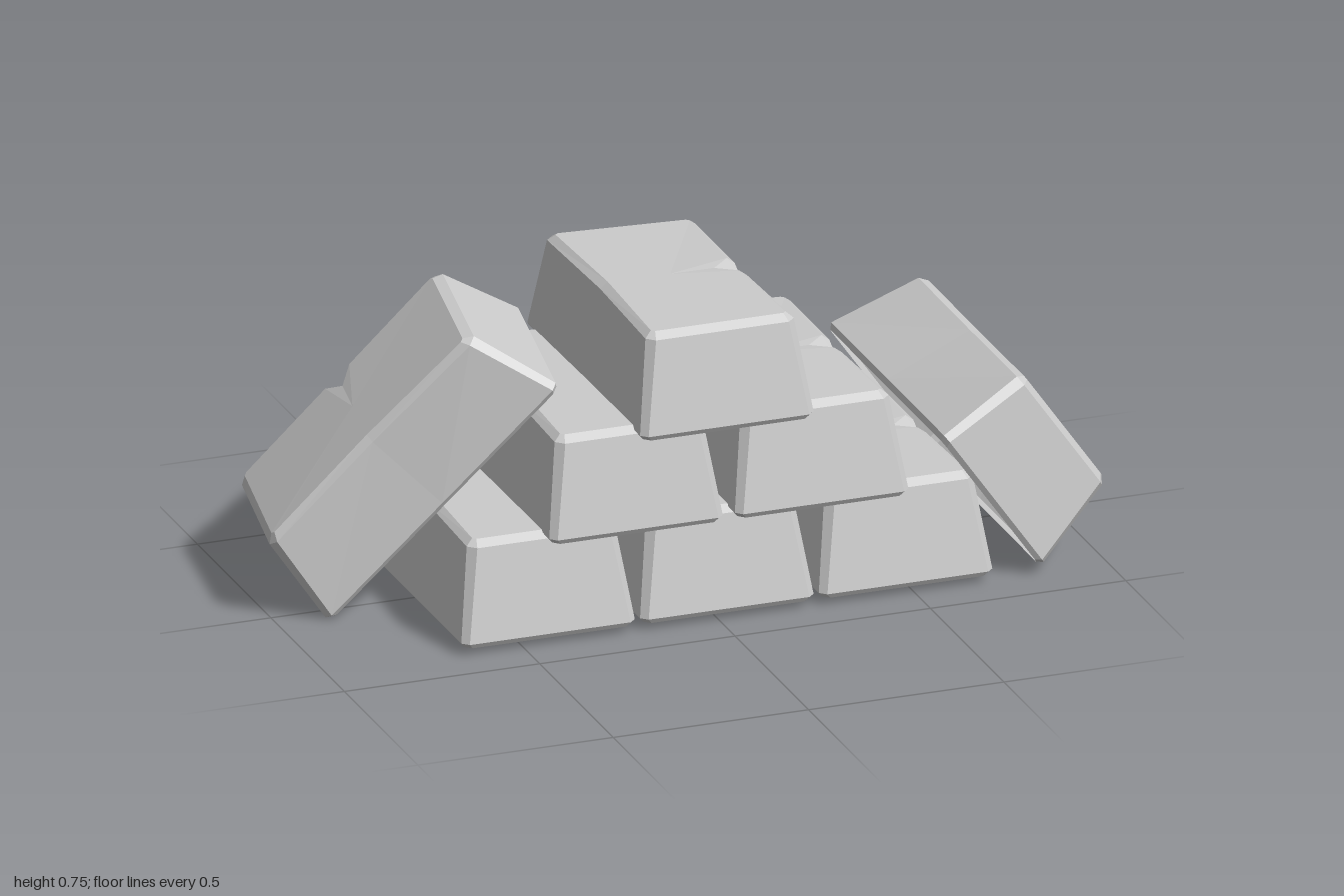
import * as THREE from 'three';

const NOTCH = 3; // ring index of the notch point on the +x long side

// Chamfered outline at one height; the long sides are pinched at the middle.
function ring(y, hx, hz, c, waist) {
  const w = hx - waist;
  return [
    [hx - c, y, hz], [hx, y, hz - c],
    [w, y, 0.042], [w, y, 0], [w, y, -0.042],
    [hx, y, c - hz], [hx - c, y, -hz],
    [c - hx, y, -hz], [-hx, y, c - hz],
    [-w, y, 0],
    [-hx, y, hz - c], [c - hx, y, hz],
  ];
}

// Tapered bar, open underneath, with bevelled edges and a nick in one top edge.
function barGeometry() {
  const rings = [
    ring(0, 0.212, 0.392, 0.016, 0),
    ring(0.013, 0.222, 0.4, 0.016, 0),
    ring(0.241, 0.19, 0.355, 0.02, 0.01),
    ring(0.256, 0.172, 0.332, 0.008, 0.012),
  ];
  // Nick cut into the side and the top
  rings[2][NOTCH] = [0.188, 0.198, 0];
  rings[3][NOTCH] = [0.112, 0.253, 0];
  // One worn corner
  for (const r of [rings[2], rings[3]]) for (const i of [5, 6]) r[i][1] -= 0.012;

  const pos = [];
  const n = rings[0].length;
  for (let k = 0; k < rings.length - 1; k++) {
    for (let i = 0; i < n; i++) {
      const j = (i + 1) % n;
      const a = rings[k][i], b = rings[k][j], c = rings[k + 1][j], d = rings[k + 1][i];
      pos.push(...a, ...b, ...c, ...a, ...c, ...d);
    }
  }
  // Top face as a fan
  const top = rings[rings.length - 1];
  for (let i = 0; i < n; i++) pos.push(0, 0.254, 0, ...top[i], ...top[(i + 1) % n]);

  const g = new THREE.BufferGeometry();
  g.setAttribute('position', new THREE.Float32BufferAttribute(pos, 3));
  g.computeVertexNormals();
  return g;
}

export function createModel() {
  const group = new THREE.Group();
  group.name = 'barPile';
  const geometry = barGeometry();
  const material = new THREE.MeshStandardMaterial({
    color: 0xcccccc, flatShading: true, side: THREE.DoubleSide,
  });

  const addBar = (name, x, y, z = 0) => {
    const bar = new THREE.Mesh(geometry, material);
    bar.name = name;
    bar.position.set(x, y, z);
    group.add(bar);
    return bar;
  };

  // Stacked pyramid
  const rows = [
    ['bottomBar', 0.025, [-0.435, 0.0225, 0.48]],
    ['middleBar', 0.263, [-0.21, 0.265]],
    ['topBar', 0.497, [0.0225]],
  ];
  for (const [name, y, xs] of rows) xs.forEach((x, i) => addBar(name + (i + 1), x, y));

  // Bar tipped against the left side
  addBar('tippedBar', 0.695, 0.21).rotation.z = THREE.MathUtils.degToRad(-55);

  // Bar leaning lengthwise against the right side
  const along = new THREE.Vector3(0.68, 0.718, 0.15).normalize();
  const up = along.clone().cross(new THREE.Vector3(0.14, 0.08, -0.987)).normalize();
  const across = up.clone().cross(along);
  addBar('leaningBar', -0.569, 0.304, -0.093)
    .quaternion.setFromRotationMatrix(new THREE.Matrix4().makeBasis(across, up, along));

  return group;
}
